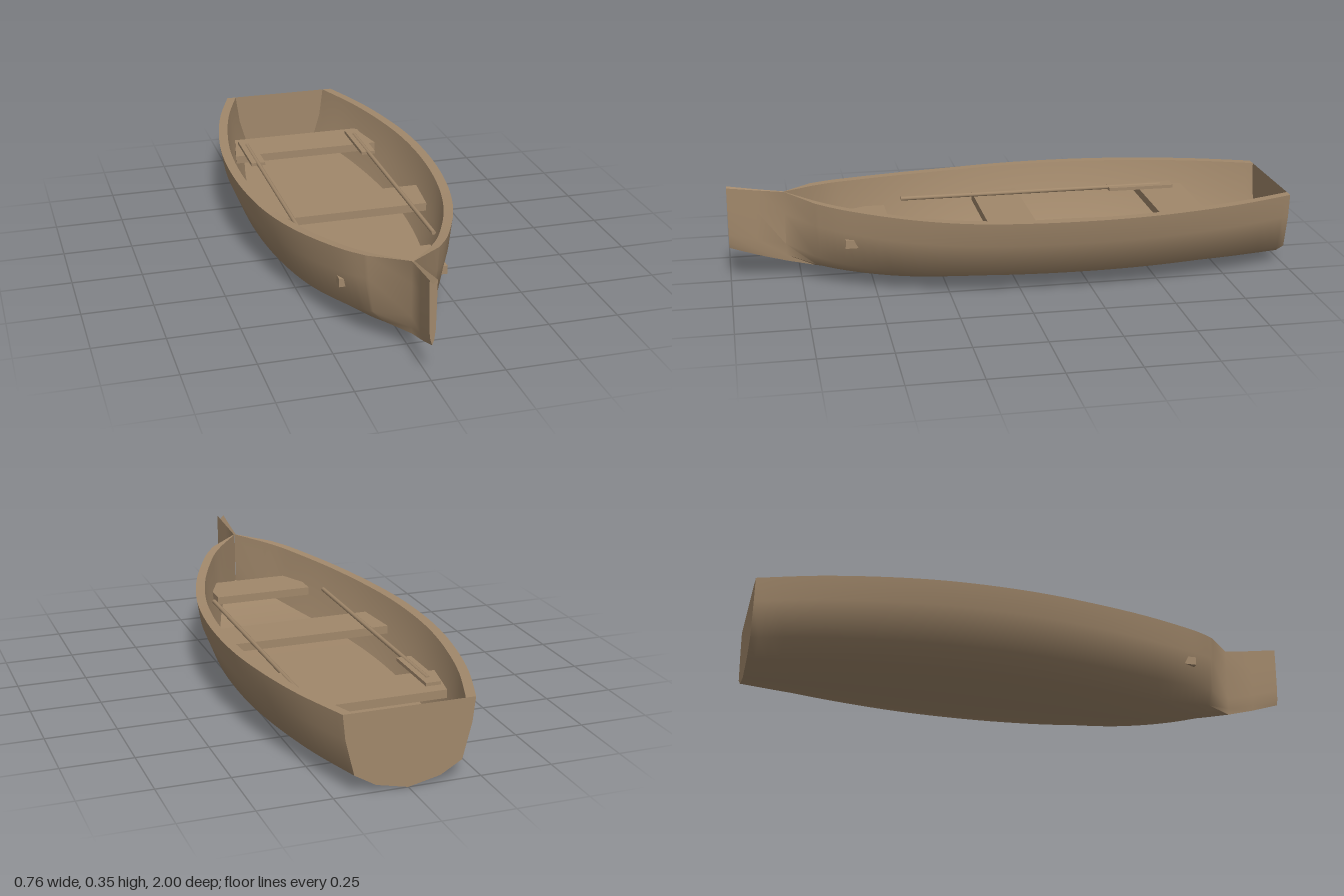
import * as THREE from 'three';
import { toCreasedNormals } from 'three/addons/utils/BufferGeometryUtils.js';

const wood = new THREE.MeshStandardMaterial({ color: 0xa1886b });
wood.name = 'wood';
const woodSheet = new THREE.MeshStandardMaterial({ color: 0xa1886b, side: THREE.DoubleSide });
woodSheet.name = 'wood sheet';

// Plan outline: x = station along the boat, y = half width
const outline = new THREE.SplineCurve([
  [-1, 0.222], [-0.8, 0.292], [-0.6, 0.34], [-0.4, 0.37], [-0.2, 0.378], [0, 0.367],
  [0.2, 0.335], [0.4, 0.276], [0.6, 0.187], [0.7, 0.122],
].map(([z, w]) => new THREE.Vector2(z, w)));

const sheer = (z) => 0.275 + 0.075 * Math.max(0, (z - 0.1) / 0.9) ** 1.8;
const keel = (z) => 0.125 * Math.max(0, (z - 0.3) / 0.7) ** 2;

// Half sections from the keel or floor up: [width fraction, height fraction]
const OUTER = [[0, 0], [0.49, 0.087], [0.82, 0.244], [0.958, 0.69], [1, 1]];
const INNER = [[0.77, 0.25], [0.92, 0.6], [1, 1]];

const stations = outline.getPoints(45).map((p) => ({ z: p.x, w: p.y }));
stations.push({ z: 0.8, w: 0.004 });
const stem = [{ z: 0.8, w: 0.004 }, { z: 0.9, w: 0.008 }, { z: 1, w: 0.013 }];
const innerWidth = (s) => Math.max(0.0005, s.w - 0.035);

const place = (s, half, width) => half.map(([fx, fy]) =>
  [fx * width, keel(s.z) + fy * (sheer(s.z) - keel(s.z))]);
const mirror = (pts) => pts.map(([x, y]) => [-x, y]);

// Skins a row of cross-sections
function loft(list, section, crease = 1.0) {
  const pos = [], index = [];
  let n = 0;
  for (const s of list) {
    const pts = section(s);
    n = pts.length;
    for (const [x, y] of pts) pos.push(x, y, s.z);
  }
  for (let i = 0; i < list.length - 1; i++) {
    for (let j = 0; j < n - 1; j++) {
      const a = i * n + j, b = a + n;
      index.push(a, b, a + 1, b, b + 1, a + 1);
    }
  }
  const g = new THREE.BufferGeometry();
  g.setAttribute('position', new THREE.Float32BufferAttribute(pos, 3));
  g.setIndex(index);
  return toCreasedNormals(g, crease);
}

// Full outer section from the left gunwale, under the keel, to the right
function outerSection(s) {
  const half = place(s, OUTER, s.w);
  return [...half.slice().reverse(), ...mirror(half.slice(1))];
}

function innerSection(s) {
  const half = place(s, INNER, innerWidth(s));
  return [...mirror(half).reverse(), ...half];
}

const toShape = (pts) => new THREE.Shape(pts.map(([x, y]) => new THREE.Vector2(x, y)));

export function createModel() {
  const boat = new THREE.Group();
  boat.name = 'rowingBoat';
  const add = (name, geometry, material = wood, parent = boat) => {
    const mesh = new THREE.Mesh(geometry, material);
    mesh.name = name;
    parent.add(mesh);
    return mesh;
  };

  // Hull shell, inner walls with floor, and gunwales
  add('hull', loft([...stations, ...stem.slice(1)], outerSection));
  add('innerHull', loft(stations, innerSection, 0.7));
  add('leftGunwale', loft(stations, (s) => [[innerWidth(s), sheer(s.z)], [s.w, sheer(s.z)]]));
  add('rightGunwale', loft(stations, (s) => [[-s.w, sheer(s.z)], [-innerWidth(s), sheer(s.z)]]));

  // Flat stern board
  add('transom', new THREE.ShapeGeometry(toShape(outerSection(stations[0]))), woodSheet)
    .position.z = -1;

  // Stem blade: grooved top and front end
  const groove = (s) => sheer(s.z) - 1.1 * s.w;
  add('stemTop', loft(stem, (s) => [[-s.w, sheer(s.z)], [0, groove(s)], [s.w, sheer(s.z)]], 0.2));
  const tip = stem[2];
  add('stemFront', new THREE.ShapeGeometry(toShape([...outerSection(tip), [0, groove(tip)]])), woodSheet)
    .position.z = 1;

  // Bench seats: back z, front z, back half width, front half width
  const seats = {
    rearSeat: [-0.73, -0.555, 0.25, 0.283],
    middleSeat: [-0.09, 0.083, 0.305, 0.287],
    frontSeat: [0.428, 0.603, 0.185, 0.188],
  };
  for (const [name, [z0, z1, w0, w1]] of Object.entries(seats)) {
    const shape = toShape([[-w1, -z1], [w1, -z1], [w0, -z0], [-w0, -z0]]);
    const g = new THREE.ExtrudeGeometry(shape, { depth: 0.03, bevelEnabled: false });
    add(name, g.rotateX(-Math.PI / 2).translate(0, 0.161, 0));
  }

  // Oars lying across the seats
  for (const [side, name] of [[1, 'leftOar'], [-1, 'rightOar']]) {
    const oar = new THREE.Group();
    oar.name = name;
    oar.position.x = side * 0.221;
    boat.add(oar);
    add('oarShaft', new THREE.CylinderGeometry(0.008, 0.008, 1, 8).rotateX(Math.PI / 2), wood, oar)
      .position.set(0, 0.201, -0.14);
    add('oarBlade', new THREE.BoxGeometry(0.054, 0.012, 0.25), wood, oar)
      .position.set(0, 0.198, -0.56);
  }
  return boat;
}
